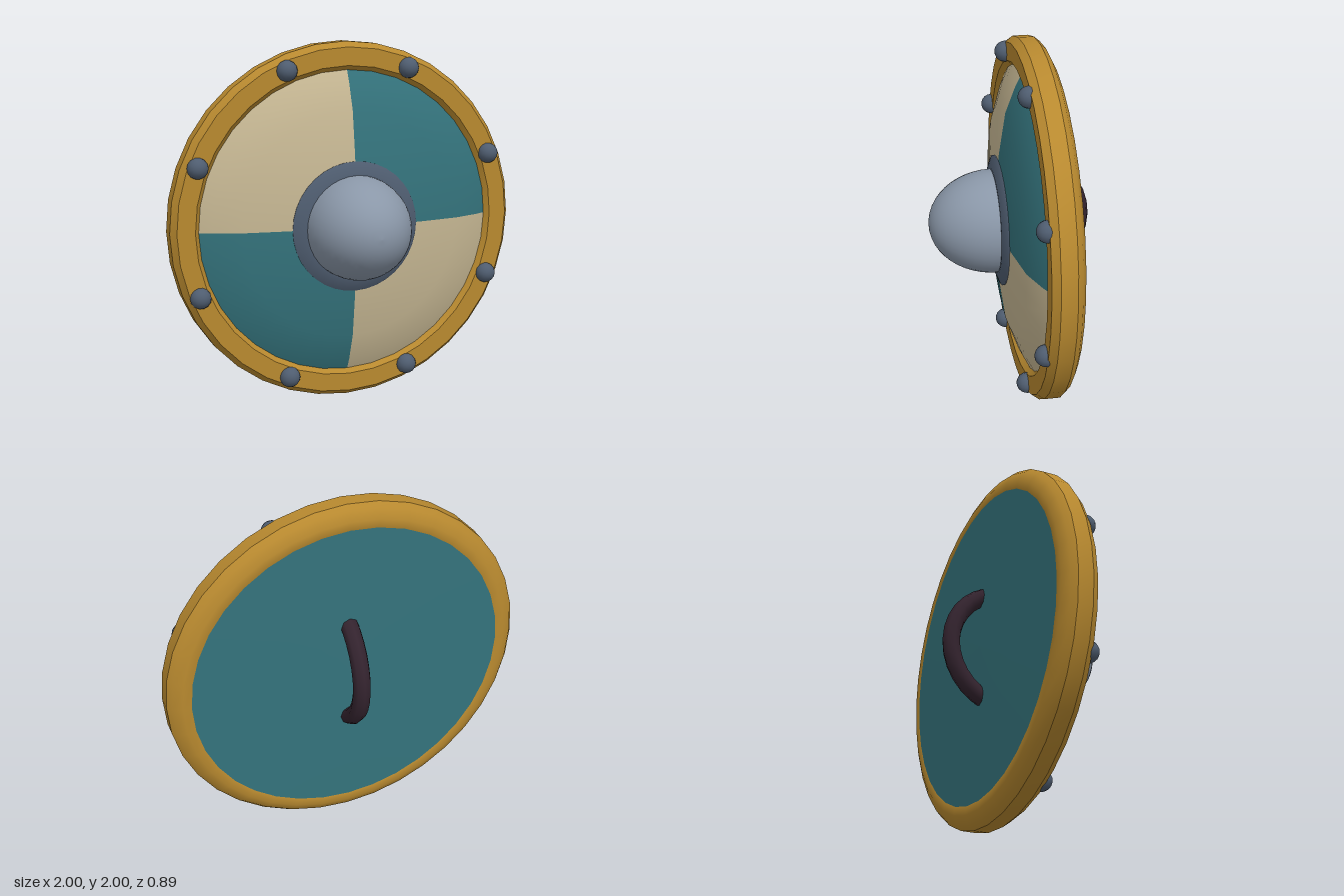
import * as THREE from 'three';
import { toCreasedNormals } from 'three/addons/utils/BufferGeometryUtils.js';

const SEGMENTS = 36;

function material(name, color) {
  const m = new THREE.MeshStandardMaterial({ color });
  m.name = name;
  return m;
}

// Revolves [radius, z] points around the z axis; profiles run from back to front
function turned(points, segments = SEGMENTS, start = 0, length = Math.PI * 2) {
  const profile = points.map(([r, z]) => new THREE.Vector2(r, z));
  return new THREE.LatheGeometry(profile, segments, start, length).rotateX(Math.PI / 2);
}

export function createModel() {
  const gold = material('gold', 0xb8892f);
  const teal = material('teal', 0x34737c);
  const cream = material('cream', 0xc6b793);
  const darkSteel = material('dark steel', 0x4f5d70);
  const steel = material('steel', 0x8a97a8);
  const leather = material('dark leather', 0x33232e);

  const shield = new THREE.Group();
  shield.name = 'shield';
  const face = new THREE.Group();
  face.name = 'shieldBody';
  face.position.y = 1;
  shield.add(face);

  const add = (name, geometry, mat) => {
    const mesh = new THREE.Mesh(geometry, mat);
    mesh.name = name;
    face.add(mesh);
    return mesh;
  };

  // Chamfered rim, a closed profile
  const rim = turned([
    [0.84, -0.2], [0.88, -0.22], [0.925, -0.22], [0.975, -0.195], [1, -0.165],
    [1, -0.08], [0.97, -0.04], [0.87, -0.04], [0.84, -0.075], [0.84, -0.2],
  ]);
  add('rim', toCreasedNormals(rim, 0.5), gold);

  // Domed front in four alternating quarters
  const dome = [[0.85, -0.07], [0.78, -0.035], [0.63, 0.02], [0.395, 0.055], [0.3, 0.065]];
  for (let i = 0; i < 4; i++) {
    const quarter = turned(dome, SEGMENTS / 4, i * Math.PI / 2, Math.PI / 2);
    add('frontQuarter' + (i + 1), quarter, i % 2 ? teal : cream);
  }

  // Back board, very slightly bulged
  add('backBoard', turned([[0, -0.225], [0.45, -0.223], [0.88, -0.219]]), teal);

  // Boss with its collar
  add('bossCollar', turned([[0.36, 0.055], [0.36, 0.066], [0.3, 0.09], [0.27, 0.09]]), darkSteel);
  const bossProfile = [];
  for (let i = 0; i <= 12; i++) {
    const a = (i / 12) * Math.PI / 2;
    bossProfile.push([0.287 * Math.cos(a), 0.085 + 0.36 * Math.sin(a)]);
  }
  add('boss', turned(bossProfile), steel);

  // Eight rivets around the rim
  const rivet = new THREE.SphereGeometry(0.058, 14, 10).rotateX(Math.PI / 2);
  for (let i = 0; i < 8; i++) {
    const a = (i + 0.5) * Math.PI / 4;
    add('rivet' + (i + 1), rivet, darkSteel)
      .position.set(0.92 * Math.cos(a), 0.92 * Math.sin(a), -0.04);
  }

  // Curved grip: half ring standing out of the back
  const grip = new THREE.TorusGeometry(0.34, 0.05, 8, 16, Math.PI);
  grip.rotateZ(Math.PI / 2).rotateY(-Math.PI / 2);
  add('handle', grip, leather).position.z = -0.055;

  return shield;
}
